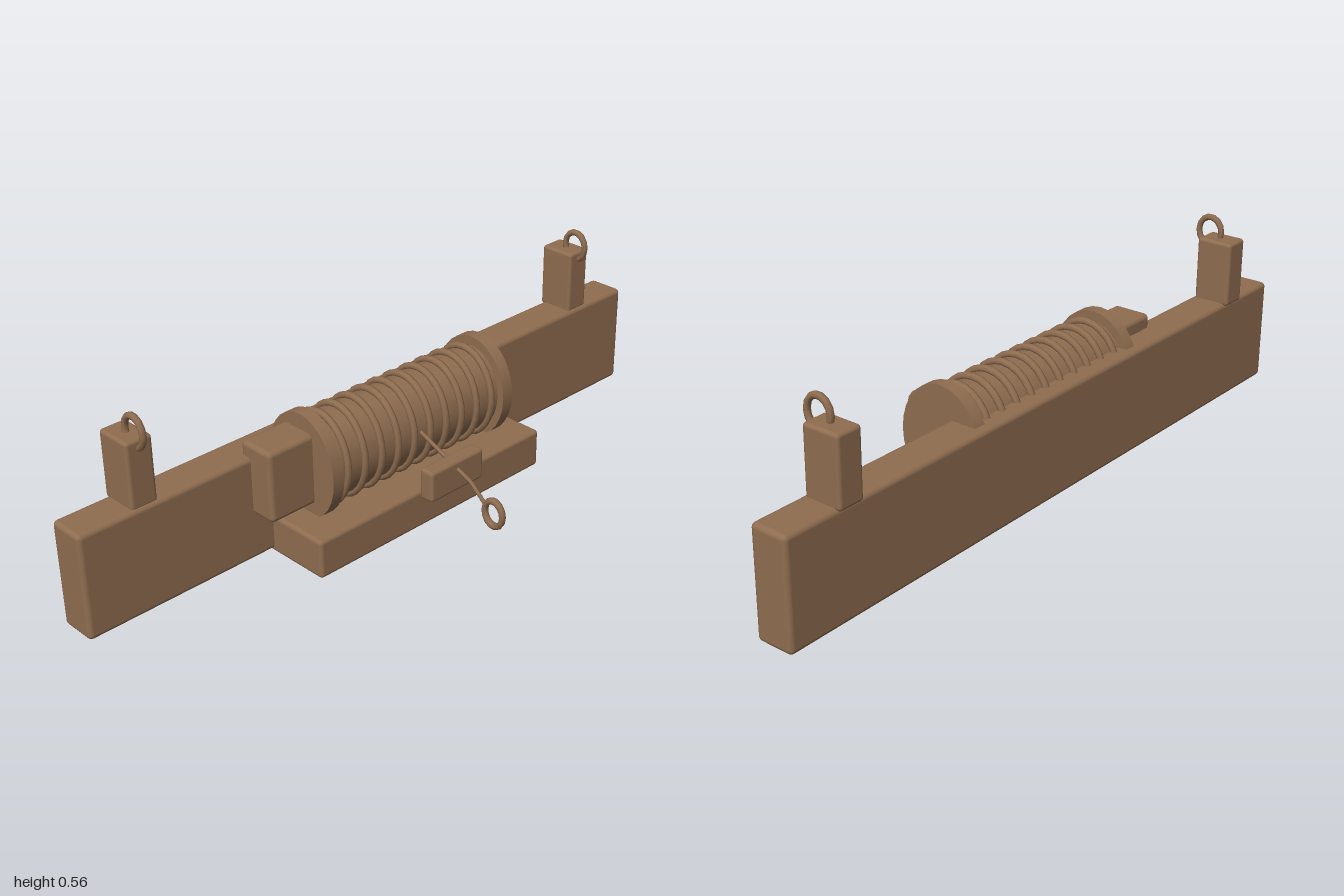
import * as THREE from 'three';
import { RoundedBoxGeometry } from 'three/addons/geometries/RoundedBoxGeometry.js';

export function createModel() {
  const group = new THREE.Group();
  const brown = new THREE.MeshStandardMaterial({ color: 0x8f6d50 });
  brown.name = 'brown';

  const add = (name, geometry, x = 0, y = 0, z = 0) => {
    const mesh = new THREE.Mesh(geometry, brown);
    mesh.name = name;
    mesh.position.set(x, y, z);
    group.add(mesh);
    return mesh;
  };

  // Rounded block given by its extents on each axis
  const block = (name, [x0, x1], [y0, y1], [z0, z1], radius = 0.014) =>
    add(name, new RoundedBoxGeometry(x1 - x0, y1 - y0, z1 - z0, 3, radius),
      (x0 + x1) / 2, (y0 + y1) / 2, (z0 + z1) / 2);

  // Ring standing in the yz plane, slightly narrower in depth
  const ring = (name, radius, tube, depth, x, y, z, sides = 14) => {
    const geometry = new THREE.TorusGeometry(radius, tube, 8, sides);
    geometry.rotateY(Math.PI / 2);
    geometry.scale(1, 1, depth);
    return add(name, geometry, x, y, z);
  };

  // Beam and winch tray
  block('bumperBeam', [-1, 1], [0.01, 0.313], [-0.27, -0.16]);
  block('winchTray', [-0.418, 0.418], [0, 0.115], [-0.19, 0.027], 0.012);

  // Winch: drum, end flanges, cable coils and motor
  const axisY = 0.245, axisZ = -0.132, depth = 0.82;
  const disc = (name, radius, length, x) => {
    const geometry = new THREE.CylinderGeometry(radius, radius, length, 28);
    geometry.rotateZ(Math.PI / 2);
    geometry.scale(1, 1, depth);
    return add(name, geometry, x, axisY, axisZ);
  };
  disc('winchDrum', 0.126, 0.62, 0);
  for (const side of [-1, 1]) disc('drumFlange', 0.153, 0.037, side * 0.3185);
  for (let i = 0; i < 10; i++) {
    ring('cableCoil', 0.132, 0.0105, depth, -0.27 + i * 0.06, axisY, axisZ, 28);
  }
  block('winchMotor', [-0.48, -0.32], [0.146, 0.353], [-0.198, -0.085]);

  // Shackle mounts on top of the beam
  for (const side of [-1, 1]) {
    const x = side * 0.8;
    block('shackleMount', [x - 0.039, x + 0.039], [0.305, 0.495], [-0.278, -0.168], 0.01);
    ring('shackleRing', 0.0425, 0.0095, 0.87, x, 0.508, -0.185);
  }

  // Cable leading through the fairlead to the hook ring
  const path = new THREE.CurvePath();
  const points = [[0.252, -0.035], [0.173, 0.157], [0.131, 0.206]]
    .map(([y, z]) => new THREE.Vector3(0, y, z));
  for (let i = 0; i < 2; i++) path.add(new THREE.LineCurve3(points[i], points[i + 1]));
  add('winchCable', new THREE.TubeGeometry(path, 24, 0.0055, 8));
  block('fairlead', [-0.098, 0.098], [0.126, 0.218], [0.063, 0.109], 0.01);
  ring('hookRing', 0.038, 0.01, 0.83, 0, 0.112, 0.24);

  return group;
}
